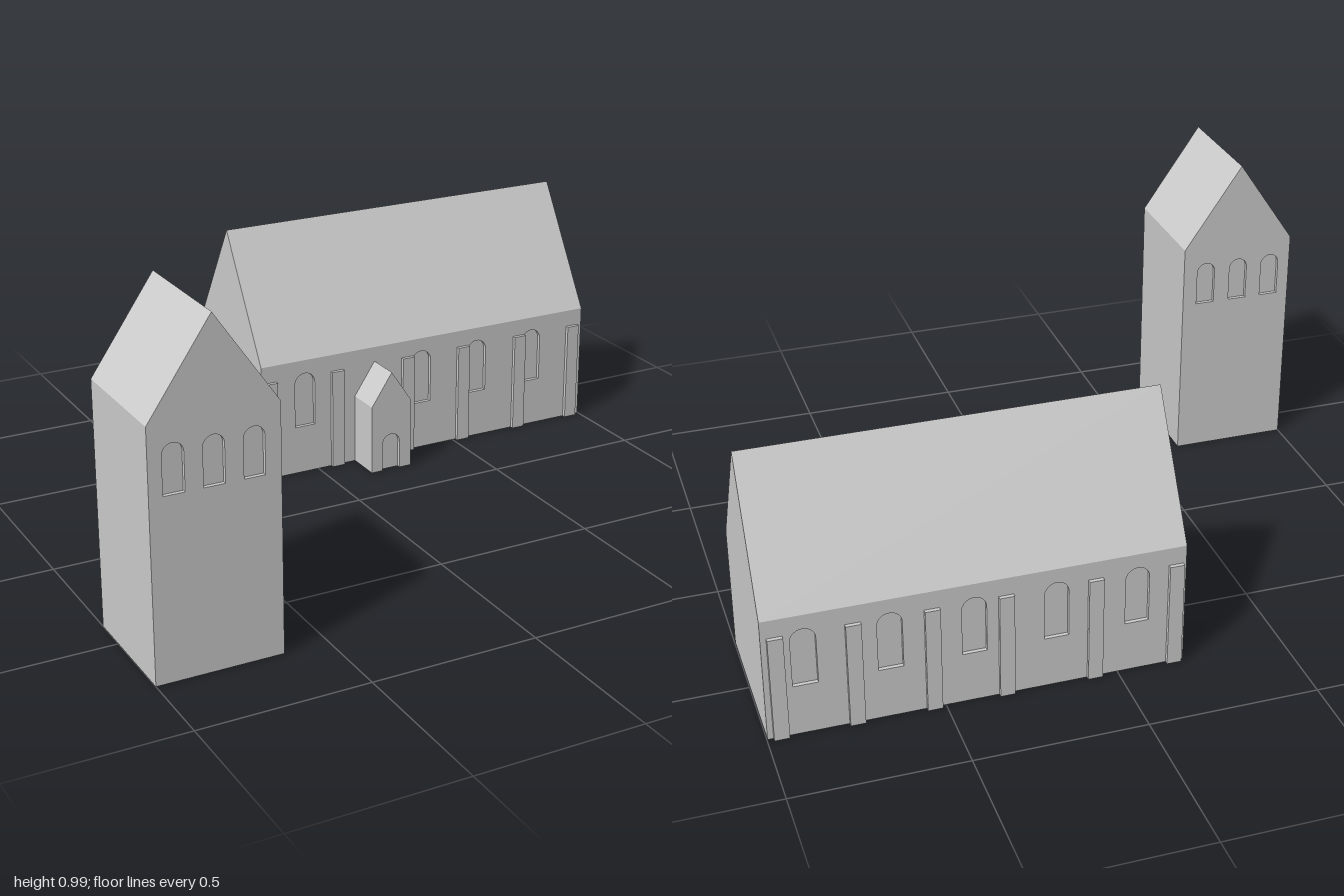
import * as THREE from 'three';

const RECESS = 0.012;

// Closed shape from a list of [x, y] points
const polygon = (points) => new THREE.Shape(points.map(([x, y]) => new THREE.Vector2(x, y)));

// House-shaped gable outline standing on y = 0
const gablePoints = (x0, x1, eave, apex) => [[x0, 0], [x1, 0], [x1, eave], [(x0 + x1) / 2, apex], [x0, eave]];

// Round-headed opening, cut through a wall as a hole
function archHole(cx, bottom, top, width) {
  const r = width / 2;
  const path = new THREE.Path();
  path.moveTo(cx - r, bottom);
  path.lineTo(cx + r, bottom);
  path.lineTo(cx + r, top - r);
  path.absarc(cx, top - r, r, 0, Math.PI, false);
  path.lineTo(cx - r, bottom);
  return path;
}

export function createModel() {
  const model = new THREE.Group();
  const stone = new THREE.MeshStandardMaterial({ color: 0xcccccc });
  stone.name = 'paleStone';

  const add = (parent, name, geometry, x = 0, y = 0, z = 0) => {
    const mesh = new THREE.Mesh(geometry, stone);
    mesh.name = name;
    mesh.position.set(x, y, z);
    parent.add(mesh);
  };
  const extrude = (shape, depth) =>
    new THREE.ExtrudeGeometry(shape, { depth, bevelEnabled: false, curveSegments: 12 });
  const group = (name) => {
    const g = new THREE.Group();
    g.name = name;
    model.add(g);
    return g;
  };

  // Bell tower: solid core between two pierced gable walls
  const tower = group('bellTower');
  const towerOutline = gablePoints(-1, -0.632, 0.722, 0.99);
  const towerBack = 0.389, towerFront = 0.757;
  add(tower, 'towerCore', extrude(polygon(towerOutline), towerFront - towerBack - 2 * RECESS), 0, 0, towerBack + RECESS);
  const towerWall = polygon(towerOutline);
  for (const x of [-0.931, -0.82, -0.708]) towerWall.holes.push(archHole(x, 0.527, 0.667, 0.06));
  add(tower, 'towerFrontWall', extrude(towerWall, RECESS), 0, 0, towerFront - RECESS);
  add(tower, 'towerBackWall', extrude(towerWall, RECESS), 0, 0, towerBack);

  // Nave: long gabled core, set back below the eaves to take the pierced walls
  const nave = group('nave');
  const x0 = -0.198, x1 = 0.998, zBack = -0.745, zFront = -0.277, wallTop = 0.36, eave = 0.38;
  const section = polygon([
    [zBack + RECESS, 0], [zFront - RECESS, 0], [zFront - RECESS, wallTop], [zFront, wallTop], [zFront, eave],
    [(zBack + zFront) / 2, 0.765], [zBack, eave], [zBack, wallTop], [zBack + RECESS, wallTop],
  ]);
  const core = extrude(section, x1 - x0);
  core.rotateY(-Math.PI / 2);
  add(nave, 'naveCore', core, x1);

  const sideWall = (windows) => {
    const shape = polygon([[x0, 0], [x1, 0], [x1, wallTop], [x0, wallTop]]);
    for (const x of windows) shape.holes.push(archHole(x, 0.157, 0.336, 0.07));
    return extrude(shape, RECESS);
  };
  add(nave, 'naveFrontWall', sideWall([-0.046, 0.377, 0.587, 0.799]), 0, 0, zFront - RECESS);
  add(nave, 'naveBackWall', sideWall([-0.055, 0.18, 0.415, 0.65, 0.885]), 0, 0, zBack);

  // Shallow buttresses along both sides
  const buttress = new THREE.BoxGeometry(0.043, 0.325, 0.024);
  for (const x of [-0.168, 0.068, 0.325, 0.533, 0.75, 0.96]) {
    add(nave, 'frontButtress', buttress, x, 0.1625, zFront);
    add(nave, 'backButtress', buttress, x, 0.1625, zBack);
  }

  // Entrance porch with an arched doorway notched into its front wall
  const porch = group('porch');
  const px0 = 0.133, px1 = 0.275, pFront = -0.163, doorX = 0.203, r = 0.031, spring = 0.091;
  const porchOutline = gablePoints(px0, px1, 0.225, 0.332);
  add(porch, 'porchCore', extrude(polygon(porchOutline), pFront - RECESS - zFront + 0.005), 0, 0, zFront - 0.005);
  const arch = [[doorX - r, 0]];
  for (let i = 0; i <= 12; i++) {
    const a = Math.PI * (1 - i / 12);
    arch.push([doorX + r * Math.cos(a), spring + r * Math.sin(a)]);
  }
  arch.push([doorX + r, 0]);
  const porchWall = polygon([porchOutline[0], ...arch, ...porchOutline.slice(1)]);
  add(porch, 'porchFrontWall', extrude(porchWall, RECESS), 0, 0, pFront - RECESS);

  return model;
}
